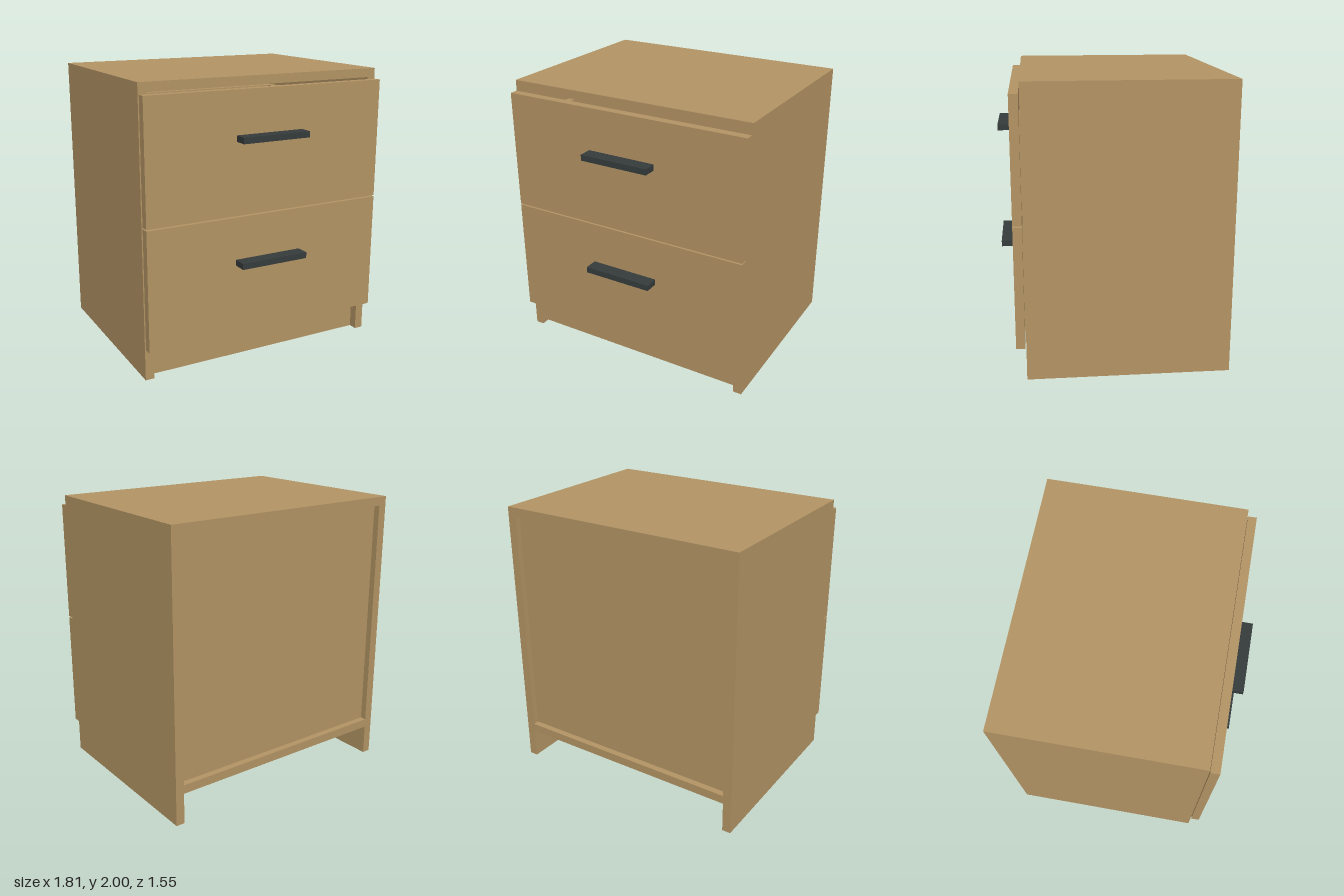
import * as THREE from 'three';

export function createModel() {
  const group = new THREE.Group();
  group.name = 'nightstand';
  const wood = new THREE.MeshStandardMaterial({ color: 0xb39464 });
  wood.name = 'oak wood';
  const metal = new THREE.MeshStandardMaterial({ color: 0x353b3c });
  metal.name = 'dark handle';

  // Box given by its minimum and maximum on each axis
  function panel(parent, name, material, [x0, x1], [y0, y1], [z0, z1]) {
    const mesh = new THREE.Mesh(new THREE.BoxGeometry(x1 - x0, y1 - y0, z1 - z0), material);
    mesh.position.set((x0 + x1) / 2, (y0 + y1) / 2, (z0 + z1) / 2);
    mesh.name = name;
    parent.add(mesh);
  }

  const W = 0.907, T = 0.062, inner = W - T;
  const back = -0.775, front = 0.61;

  // Carcass: sides run full height, the other boards sit between them
  const carcass = new THREE.Group();
  carcass.name = 'carcass';
  group.add(carcass);
  panel(carcass, 'leftSide', wood, [inner, W], [0, 2], [back, front]);
  panel(carcass, 'rightSide', wood, [-W, -inner], [0, 2], [back, front]);
  panel(carcass, 'topBoard', wood, [-inner, inner], [2 - T, 2], [back, front]);
  panel(carcass, 'bottomBoard', wood, [-inner, inner], [0.22, 0.22 + T], [back, front]);
  panel(carcass, 'backBoard', wood, [-inner, inner], [0.22 + T, 2 - T], [back + 0.045, back + 0.075]);
  panel(carcass, 'kickBoard', wood, [-inner, inner], [0, 0.22], [0.485, 0.547]);

  // Two drawers: front plate, open box behind it and a bar handle
  for (const [name, y] of [['lowerDrawer', 0.225], ['upperDrawer', 1.08]]) {
    const drawer = new THREE.Group();
    drawer.name = name;
    group.add(drawer);
    const zf = 0.617, zb = -0.62, t = 0.05, bx = 0.8;
    const y0 = y === 0.225 ? 0.312 : 1.12, y1 = y0 + 0.642;
    panel(drawer, 'drawerFront', wood, [-0.902, 0.902], [y, y + 0.845], [zf, 0.678]);
    panel(drawer, 'boxLeft', wood, [bx - t, bx], [y0, y1], [zb, zf]);
    panel(drawer, 'boxRight', wood, [-bx, t - bx], [y0, y1], [zb, zf]);
    panel(drawer, 'boxBack', wood, [t - bx, bx - t], [y0, y1], [zb, zb + t]);
    panel(drawer, 'boxFront', wood, [t - bx, bx - t], [y0, y1], [zf - t, zf]);
    panel(drawer, 'boxFloor', wood, [t - bx, bx - t], [y0, y0 + 0.03], [zb + t, zf - t]);
    const hy = y === 0.225 ? 0.73 : 1.585;
    panel(drawer, 'handle', metal, [-0.253, 0.253], [hy, hy + 0.042], [0.678, 0.775]);
  }
  return group;
}
